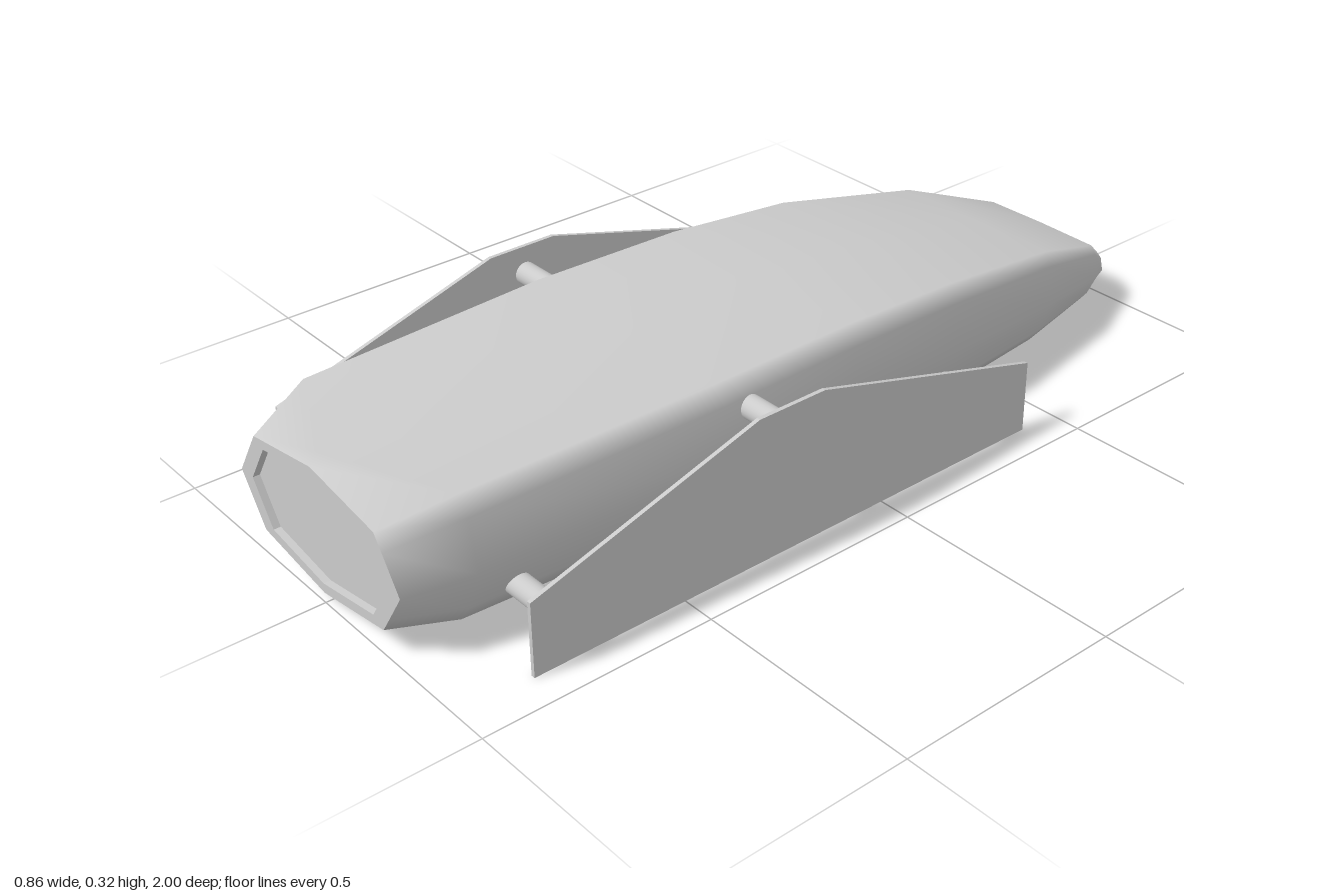
import * as THREE from 'three';

// Half cross-sections from bottom centre up to top centre (width 0..1, height 0..1)
const BODY = [[0, 0], [0.78, 0.03], [0.87, 0.16], [1, 0.5], [0.965, 0.88], [0.88, 1], [0, 1]];
const NOSE = [[0, 0], [0.75, 0.12], [0.83, 0.24], [1, 0.5], [0.83, 0.76], [0.75, 0.88], [0, 1]];

// Closed ring, counter-clockwise seen from +z; t blends body section to nose section
function ring(z, halfWidth, y0, y1, t = 0, topShift = 0) {
  const half = BODY.map(([u, v], i) => {
    const w = THREE.MathUtils.lerp(u, NOSE[i][0], t) * halfWidth;
    const h = THREE.MathUtils.lerp(v, NOSE[i][1], t);
    return [w, y0 + h * (y1 - y0), z + (i === 6 ? topShift : 0)];
  });
  const mirrored = half.slice(1, -1).reverse().map(([x, y, d]) => [-x, y, d]);
  return [...half, ...mirrored];
}

// Skin through rings ordered from front to back, with optional end caps
function loft(rings, { frontCap = false, backCap = false, flat = false } = {}) {
  const n = rings[0].length;
  const pos = rings.flat(2);
  const idx = [];
  for (let r = 0; r < rings.length - 1; r++) {
    for (let k = 0; k < n; k++) {
      const a = r * n + k, a2 = r * n + (k + 1) % n;
      idx.push(a, a + n, a2, a2, a + n, a2 + n);
    }
  }
  const last = (rings.length - 1) * n;
  for (let k = 1; k < n - 1; k++) {
    if (frontCap) idx.push(0, k, k + 1);
    if (backCap) idx.push(last, last + k + 1, last + k);
  }
  let geo = new THREE.BufferGeometry();
  geo.setAttribute('position', new THREE.Float32BufferAttribute(pos, 3));
  geo.setIndex(idx);
  if (flat) geo = geo.toNonIndexed();
  geo.computeVertexNormals();
  return geo;
}

export function createModel() {
  const group = new THREE.Group();
  const material = new THREE.MeshStandardMaterial({ color: 0xcccccc });
  const add = (name, geo) => {
    const mesh = new THREE.Mesh(geo, material);
    mesh.name = name;
    group.add(mesh);
    return mesh;
  };

  // Smooth hull, blunt at the front and tapering to the tail
  const front = ring(1, 0.272, 0.022, 0.295, 1);
  const tail = ring(-1, 0.135, 0.02, 0.1, 0.15);
  add('hull', loft([
    front,
    ring(0.86, 0.306, 0.01, 0.317, 0.3, 0.12),
    ring(0.3, 0.315, 0, 0.317),
    ring(-0.05, 0.307, 0, 0.315),
    ring(-0.35, 0.29, 0, 0.295),
    ring(-0.7, 0.238, 0, 0.235),
    ring(-0.93, 0.175, 0.005, 0.155, 0.1),
    tail,
  ]));
  add('tailPlate', loft([tail], { backCap: true, flat: true }));

  // Front plate: flat rim around a shallow recess
  add('frontPlate', loft([
    ring(0.985, 0.231, 0.043, 0.275, 1),
    ring(1, 0.231, 0.043, 0.275, 1),
    front,
  ], { frontCap: true, flat: true }));

  // Thin side fins, drawn in (z, y) and extruded across x
  const outline = [[0.84, 0], [0.84, 0.16], [0.32, 0.317], [0.16, 0.317], [-0.41, 0.16], [-0.41, 0]];
  const shape = new THREE.Shape(outline.map(([z, y]) => new THREE.Vector2(-z, y)));
  const finGeo = new THREE.ExtrudeGeometry(shape, { depth: 0.009, bevelEnabled: false });
  finGeo.translate(0, 0, -0.0045).rotateY(Math.PI / 2);
  for (const side of [1, -1]) {
    add(side > 0 ? 'leftFin' : 'rightFin', finGeo).position.x = side * 0.423;
  }

  // Round struts through the hull carrying the fins
  const strutGeo = new THREE.CylinderGeometry(0.025, 0.025, 0.842, 24).rotateZ(Math.PI / 2);
  for (const [name, y, z] of [['frontStrut', 0.08, 0.76], ['middleStrut', 0.255, 0.235], ['rearStrut', 0.08, -0.32]]) {
    add(name, strutGeo).position.set(0, y, z);
  }
  return group;
}
